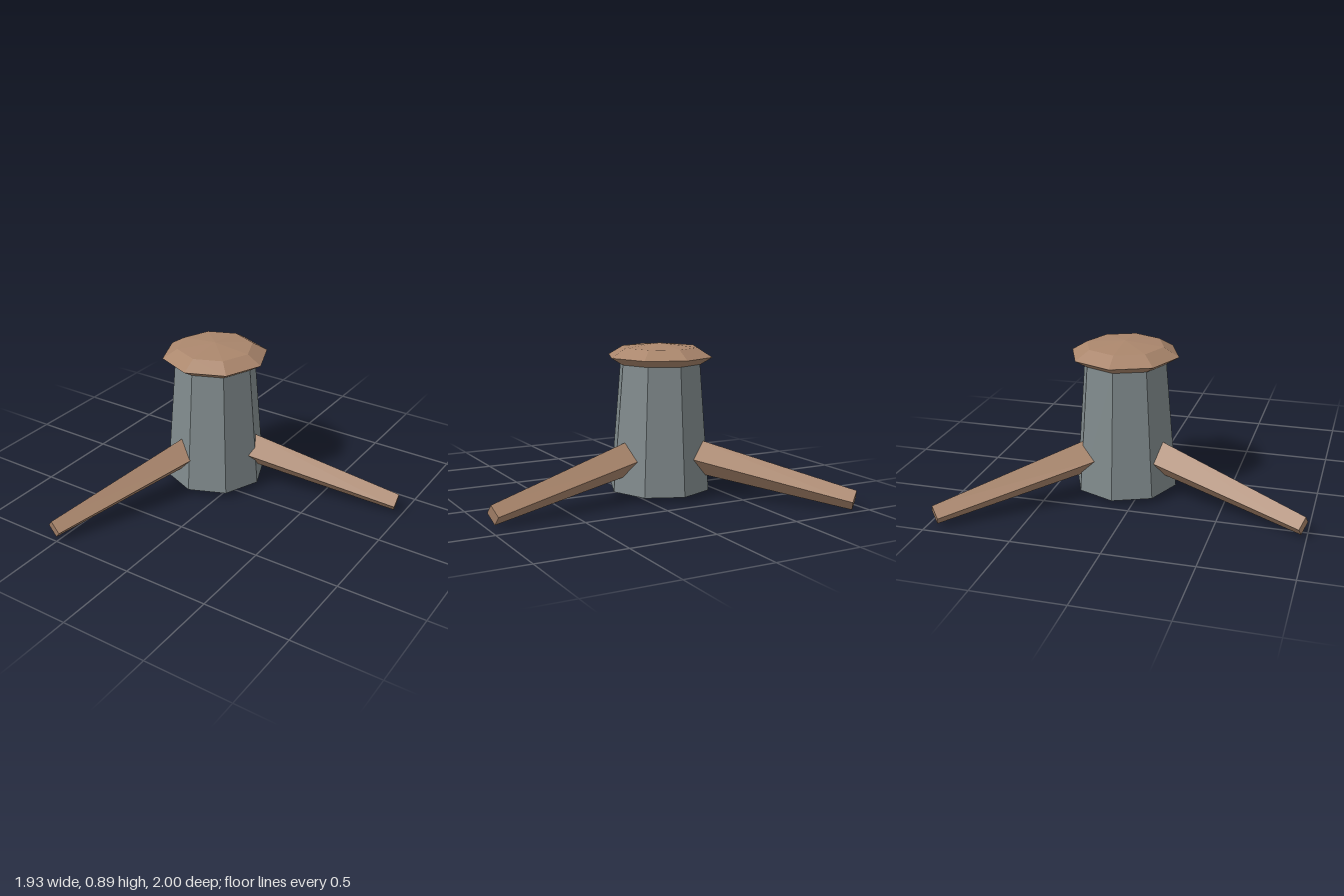
import * as THREE from 'three';

export function createModel() {
  const wood = new THREE.MeshStandardMaterial({ color: 0xaa866c, flatShading: true });
  wood.name = 'brown wood';
  const metal = new THREE.MeshStandardMaterial({ color: 0x808a8c, flatShading: true });
  metal.name = 'blue grey';

  const model = new THREE.Group();
  model.name = 'capstan';

  // The hub sits off centre because the three bars reach unevenly
  const hub = new THREE.Group();
  hub.name = 'hub';
  hub.position.set(-0.168, 0, -0.105);
  model.add(hub);

  // Tapered octagonal drum
  const drum = new THREE.Mesh(new THREE.CylinderGeometry(0.24, 0.3, 0.745, 8), metal);
  drum.name = 'drum';
  drum.position.y = 0.035 + 0.745 / 2;
  hub.add(drum);

  // Faceted cap with a flared rim and a shallow peak
  const profile = [[0, 0.773], [0.245, 0.773], [0.313, 0.815], [0.225, 0.868], [0, 0.89]];
  const cap = new THREE.Mesh(
    new THREE.LatheGeometry(profile.map(([r, y]) => new THREE.Vector2(r, y)), 8), wood);
  cap.name = 'cap';
  hub.add(cap);

  // Three square bars set on edge, sloping down and tapering outwards
  const inner = new THREE.Vector2(0.15, 0.252);
  const outer = new THREE.Vector2(1.143, 0.058);
  const span = outer.clone().sub(inner);
  const barGeometry = new THREE.CylinderGeometry(0.057, 0.103, span.length(), 4);
  barGeometry.rotateZ(span.angle() - Math.PI / 2);
  barGeometry.translate((inner.x + outer.x) / 2, (inner.y + outer.y) / 2, 0);
  ['leftBar', 'frontBar', 'backBar'].forEach((name, i) => {
    const bar = new THREE.Mesh(barGeometry, wood);
    bar.name = name;
    bar.rotation.y = -THREE.MathUtils.degToRad(-11.3 + i * 120);
    hub.add(bar);
  });

  return model;
}
